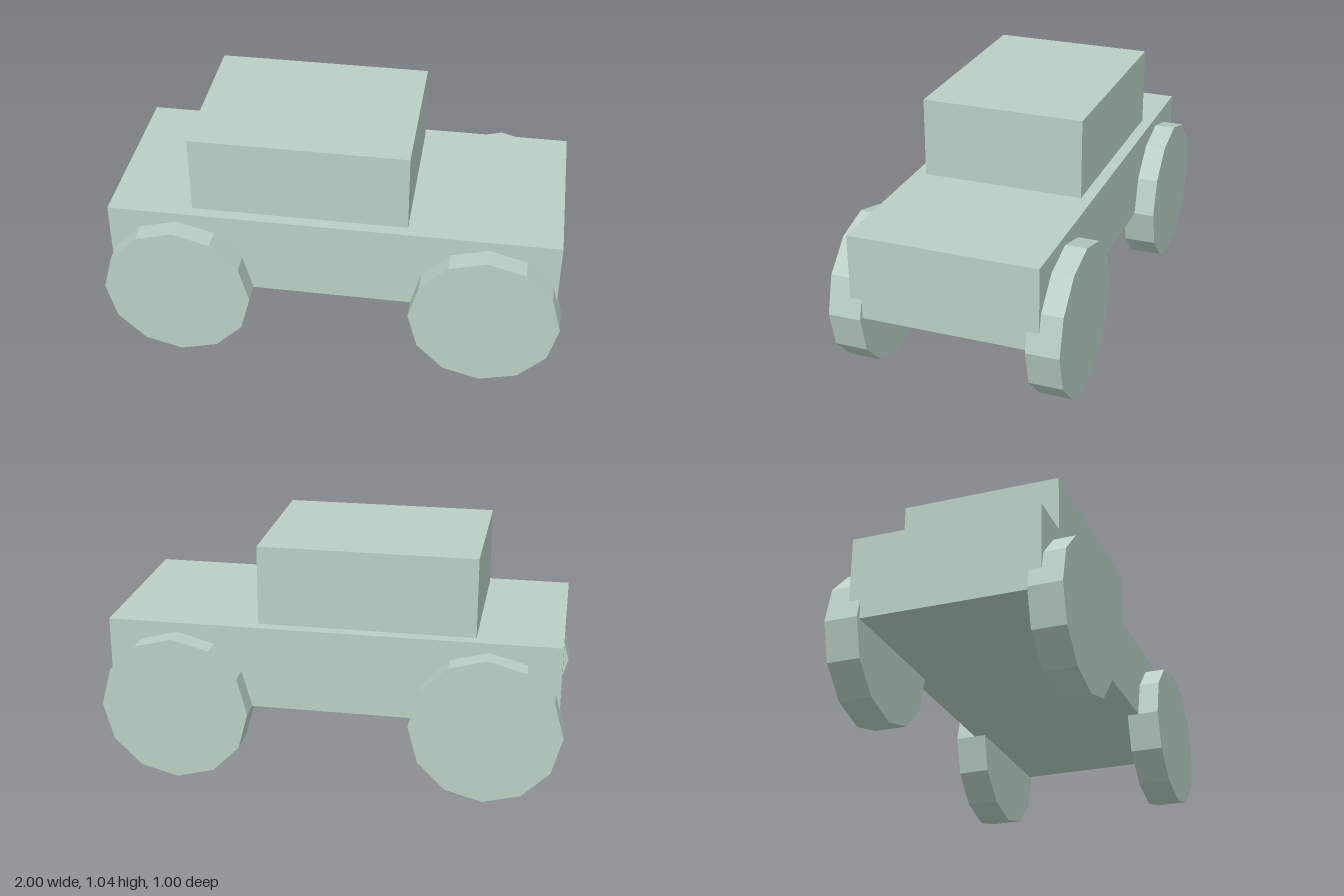
import * as THREE from 'three';

export function createModel() {
  const model = new THREE.Group();
  const paleGreen = new THREE.MeshStandardMaterial({ color: 0xb9d0c4 });
  paleGreen.name = 'paleGreen';
  paleGreen.flatShading = true;

  const add = (name, geometry, x, y, z) => {
    const mesh = new THREE.Mesh(geometry, paleGreen);
    mesh.name = name;
    mesh.position.set(x, y, z);
    model.add(mesh);
  };

  // Long lower body and the cabin set toward -x
  add('body', new THREE.BoxGeometry(1.955, 0.368, 0.816), 0, 0.512, 0);
  add('cabin', new THREE.BoxGeometry(0.938, 0.348, 0.714), -0.145, 0.87, 0);

  // Four twelve-sided wheels, partly sunk into the body sides
  const wheel = new THREE.CylinderGeometry(0.326, 0.326, 0.143, 12).rotateX(Math.PI / 2);
  for (const x of [-0.674, 0.674]) {
    for (const z of [-0.4285, 0.4285]) {
      add(`${x > 0 ? 'left' : 'right'}${z > 0 ? 'Front' : 'Back'}Wheel`, wheel, x, 0.328, z);
    }
  }
  return model;
}
